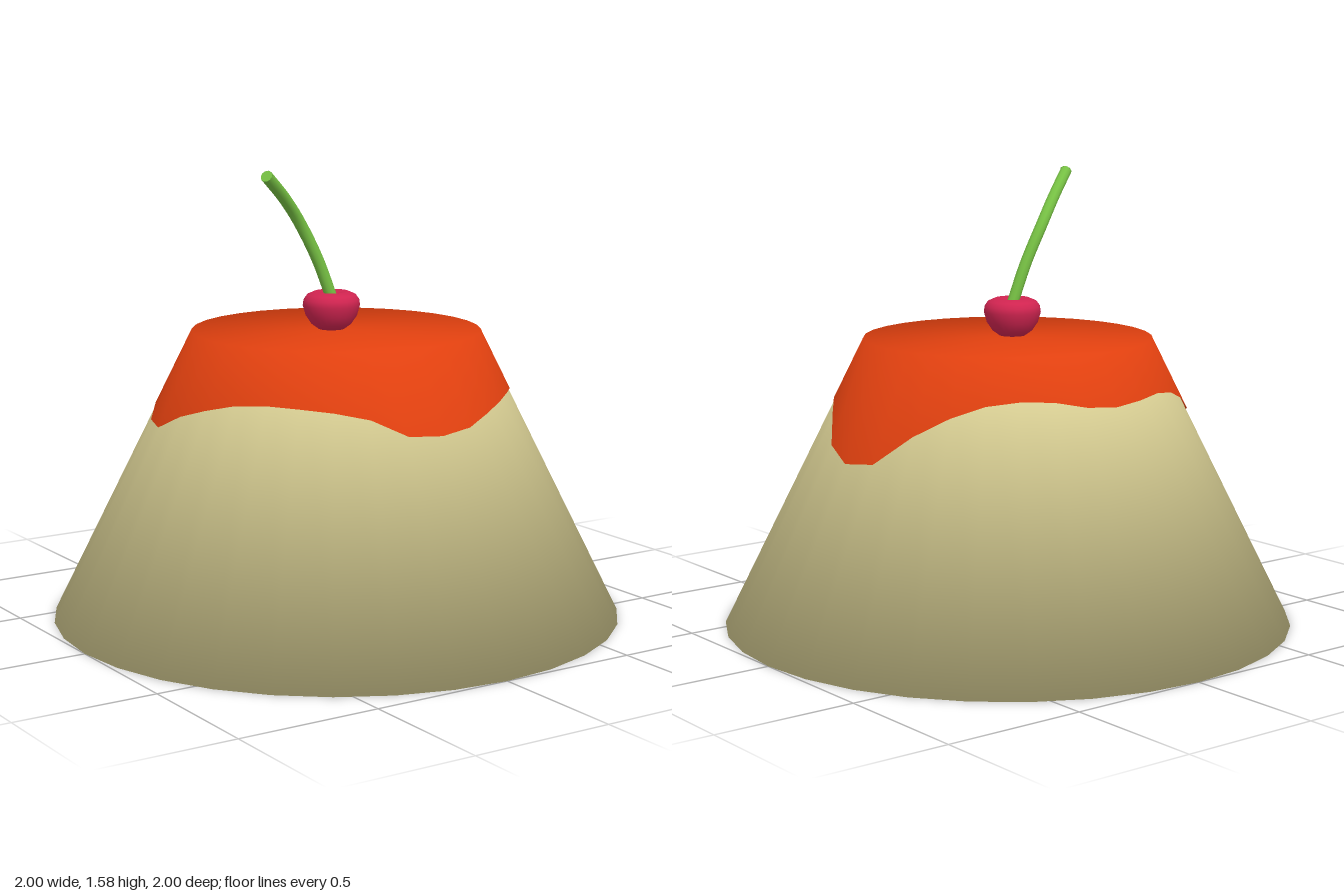
import * as THREE from 'three';

const SIDES = 32;
const TOP_Y = 1.01;
const TOP_R = 0.5;

function part(name, geometry, color) {
  const material = new THREE.MeshStandardMaterial({ color, side: THREE.DoubleSide });
  const mesh = new THREE.Mesh(geometry, material);
  mesh.name = name;
  return mesh;
}

const lathe = (profile, sides) =>
  new THREE.LatheGeometry(profile.map(([r, y]) => new THREE.Vector2(r, y)), sides);

// Give one ring of a lathe the same outward/upward normal all the way round
function setRingNormal(geometry, rowCount, row, out, up) {
  const normal = geometry.attributes.normal;
  for (let i = 0; i <= SIDES; i++) {
    const a = (i / SIDES) * Math.PI * 2;
    normal.setXYZ(i * rowCount + row, out * Math.sin(a), up, out * Math.cos(a));
  }
}

// Truncated cone, softly shaded across its top and bottom rims
function makePudding() {
  const g = lathe([[0, 0], [1, 0], [TOP_R, TOP_Y - 0.005], [0, TOP_Y - 0.005]], SIDES);
  setRingNormal(g, 4, 1, 0.71, -0.71);
  setRingNormal(g, 4, 2, 0.61, 0.79);
  return part('pudding', g, 0xe0d699);
}

// Thin sauce skin; its dripping edge is the cone radius reached at each angle
function makeSauce() {
  const edge = [
    0.635, 0.629, 0.614, 0.604, 0.6, 0.604, 0.62, 0.663,     // front to left
    0.683, 0.675, 0.626, 0.594, 0.574, 0.567, 0.569, 0.58,   // left to back
    0.584, 0.58, 0.576, 0.583, 0.602, 0.63, 0.648, 0.65,     // back to right
    0.622, 0.604, 0.59, 0.585, 0.587, 0.592, 0.603, 0.631,   // right to front
  ];
  const g = lathe([[0.65, 0.7], [TOP_R + 0.004, TOP_Y], [0, TOP_Y]], SIDES);
  const pos = g.attributes.position;
  for (let i = 0; i <= SIDES; i++) {
    const a = (i / SIDES) * Math.PI * 2;
    const r = edge[i % SIDES];
    const y = (TOP_Y * (1 - r)) / (1 - TOP_R);
    pos.setXYZ(i * 3, (r + 0.004) * Math.sin(a), y, (r + 0.004) * Math.cos(a));
  }
  setRingNormal(g, 3, 0, 0.896, 0.444);
  setRingNormal(g, 3, 1, 0.61, 0.79);
  return part('sauce', g, 0xe0400f);
}

function makeCherry() {
  const g = lathe([
    [0, 1.008], [0.045, 1.012], [0.07, 1.03], [0.09, 1.06], [0.1, 1.095],
    [0.097, 1.115], [0.085, 1.132], [0.06, 1.143], [0.03, 1.138], [0, 1.13],
  ], 24);
  const cherry = part('cherry', g, 0xd02450);
  cherry.position.x = -0.02;
  return cherry;
}

// Curved stalk with a flat cut end
function makeStem() {
  const curve = new THREE.CatmullRomCurve3([
    [-0.015, 1.11, 0], [-0.075, 1.26, -0.005], [-0.15, 1.39, 0],
    [-0.235, 1.48, 0.04], [-0.345, 1.565, 0.105],
  ].map((p) => new THREE.Vector3(...p)));
  const group = new THREE.Group();
  group.name = 'stem';
  const color = 0x76c043;
  group.add(part('stalk', new THREE.TubeGeometry(curve, 20, 0.021, 10), color));
  const end = part('stalkEnd', new THREE.CircleGeometry(0.021, 10), color);
  end.position.copy(curve.getPoint(1));
  end.lookAt(curve.getPoint(1).add(curve.getTangent(1)));
  group.add(end);
  return group;
}

export function createModel() {
  const model = new THREE.Group();
  model.name = 'puddingDessert';
  model.add(makePudding(), makeSauce(), makeCherry(), makeStem());
  return model;
}
